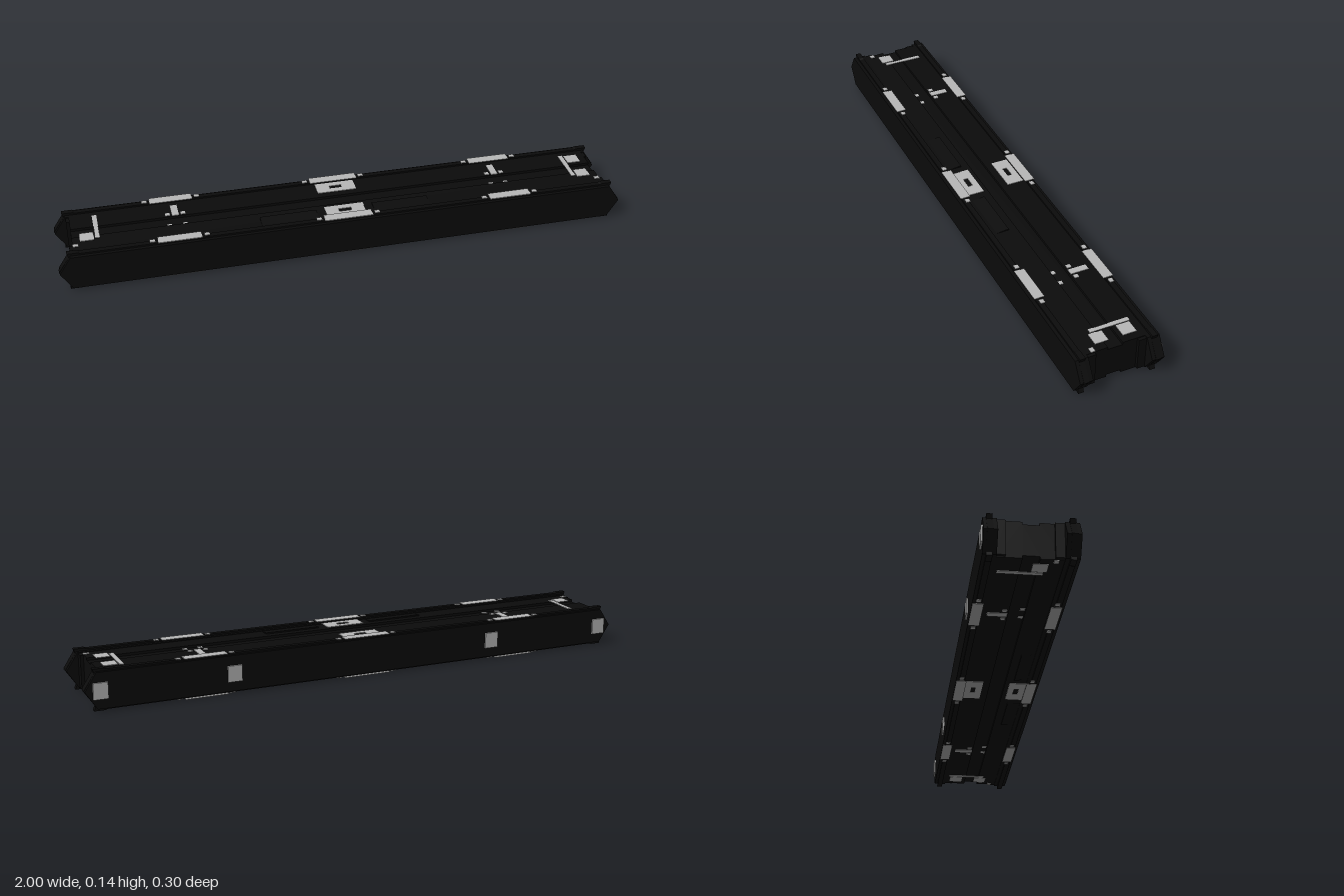
import * as THREE from 'three';

export function createModel() {
  const black = new THREE.MeshStandardMaterial({ color: 0x0b0b0b });
  black.name = 'black';
  const grey = new THREE.MeshStandardMaterial({ color: 0xb8b8b8 });
  grey.name = 'light grey';

  const model = new THREE.Group();
  model.name = 'doubleSidedBar';
  const H = 0.142; // full height; everything mirrors about H / 2

  const add = (name, geo, mat, x = 0, y = 0, z = 0, parent = model) => {
    const m = new THREE.Mesh(geo, mat);
    m.name = name;
    m.position.set(x, y, z);
    parent.add(m);
    return m;
  };
  const shapeOf = (pts) => new THREE.Shape(pts.map(([x, y]) => new THREE.Vector2(x, y)));

  // Outline from its upper right quarter, mirrored to all four quarters
  const fourWay = (q) => {
    const up = [...q, ...q.map(([x, y]) => [-x, y]).reverse()];
    return shapeOf([...up, ...up.map(([x, y]) => [x, H - y]).reverse()]);
  };
  const slab = (shape, depth) => new THREE.ExtrudeGeometry(shape, { depth, bevelEnabled: false });

  // Side rails: a plain slab with a taller eared ridge inside it
  const railShape = fourWay([[0.998, 0.071], [0.958, 0.133]].slice(0, 2));
  const ridgeShape = fourWay([[1, 0.071], [0.962, 0.127], [0.968, 0.142], [0.93, 0.142], [0.924, 0.139]]);
  const rails = [
    { name: 'front', outer: [0.104, 0.149], ridge: [0.118, 0.137] },
    { name: 'back', outer: [-0.143, -0.1], ridge: [-0.132, -0.113] },
  ];
  for (const r of rails) {
    add(r.name + 'Rail', slab(railShape, r.outer[1] - r.outer[0]), black, 0, 0, r.outer[0]);
    add(r.name + 'Ridge', slab(ridgeShape, r.ridge[1] - r.ridge[0]), black, 0, 0, r.ridge[0]);
  }

  // Centre deck: cross-section with a shallow channel above and below
  const deckTop = [
    [-0.106, 0.131], [-0.03, 0.133], [-0.03, 0.124],
    [0.022, 0.124], [0.022, 0.133], [0.102, 0.133],
  ];
  const deckShape = shapeOf([...deckTop, ...deckTop.map(([x, y]) => [x, H - y]).reverse()]);
  const deckGeo = slab(deckShape, 1.89);
  deckGeo.translate(0, 0, -0.945);
  deckGeo.rotateY(Math.PI / 2);
  add('deck', deckGeo, black);

  // Corner lugs on the deck ends
  for (const x of [-0.948, 0.948])
    for (const z of [-0.088, 0.09])
      add('endLug', new THREE.BoxGeometry(0.016, 0.118, 0.03), black, x, H / 2, z);

  // Sloped flaps beside the front centre plates
  const flapShape = shapeOf([[-0.106, 0.131], [-0.106, 0.011], [-0.058, 0.005], [-0.058, 0.137]]);
  for (const x of [-0.3, 0.1]) {
    const g = slab(flapShape, 0.2);
    g.rotateY(Math.PI / 2);
    add('flap', g, black, x);
  }

  // Grey plates, repeated on the top and the underside
  const plates = new THREE.Group();
  plates.name = 'plates';
  model.add(plates);
  const plate = (name, x0, x1, z0, z1, y) => {
    for (const py of [y, H - y])
      add(name, new THREE.BoxGeometry(x1 - x0, 0.002, z1 - z0), grey,
        (x0 + x1) / 2, py, (z0 + z1) / 2, plates);
  };
  const RAIL = 0.1405, DECK = 0.134, CHANNEL = 0.125;

  // Three rail plates on each side, with a dot past each end
  for (const [z0, z1] of [[-0.143, -0.107], [0.104, 0.14]]) {
    const zc = (z0 + z1) / 2;
    for (const [c, half] of [[-0.587, 0.075], [0, 0.085], [0.587, 0.075]]) {
      plate('railPlate', c - half, c + half, z0, z1, RAIL);
      for (const s of [-1, 1]) {
        const d = c + s * (half + 0.018);
        plate('railDot', d - 0.009, d + 0.009, zc - 0.008, zc + 0.008, RAIL);
      }
    }
  }

  // Centre plates with a slot in each
  for (const zc of [-0.077, 0.075]) {
    const s = shapeOf([[-0.07, -0.03], [0.07, -0.03], [0.07, 0.03], [-0.07, 0.03]]);
    s.holes.push(new THREE.Path([[-0.022, -0.008], [-0.022, 0.008], [0.022, 0.008], [0.022, -0.008]]
      .map(([x, y]) => new THREE.Vector2(x, y))));
    const g = slab(s, 0.002);
    g.translate(0, 0, -0.001);
    g.rotateX(-Math.PI / 2);
    for (const y of [DECK, H - DECK]) add('centrePlate', g, grey, 0, y, zc, plates);
  }

  for (const s of [-1, 1]) {
    // Cross bar with four dots
    const c = s * 0.582;
    plate('crossBar', c - 0.012, c + 0.012, -0.09, -0.025, DECK);
    for (const d of [-0.027, 0.027]) {
      plate('crossDot', c + d - 0.008, c + d + 0.008, -0.044, -0.028, DECK);
      plate('crossDot', c + d - 0.008, c + d + 0.008, 0.013, 0.029, CHANNEL);
    }
    // End bar, square and corner dot
    const e = s * 0.858, q = s * 0.894, k = s * 0.935;
    plate('endBar', e - 0.008, e + 0.008, -0.09, 0.05, DECK);
    plate('endSquare', q - 0.024, q + 0.024, 0.012, 0.06, DECK);
    plate('endDot', k - 0.01, k + 0.01, 0.072, 0.088, DECK);
  }
  plate('endSquare', 0.87, 0.918, -0.085, -0.037, DECK);

  // Four square markers on the back face
  for (const x of [-0.947, -0.49, 0.49, 0.947])
    add('backMarker', new THREE.BoxGeometry(0.05, 0.056, 0.006), grey, x, H / 2, -0.146, plates);

  return model;
}
